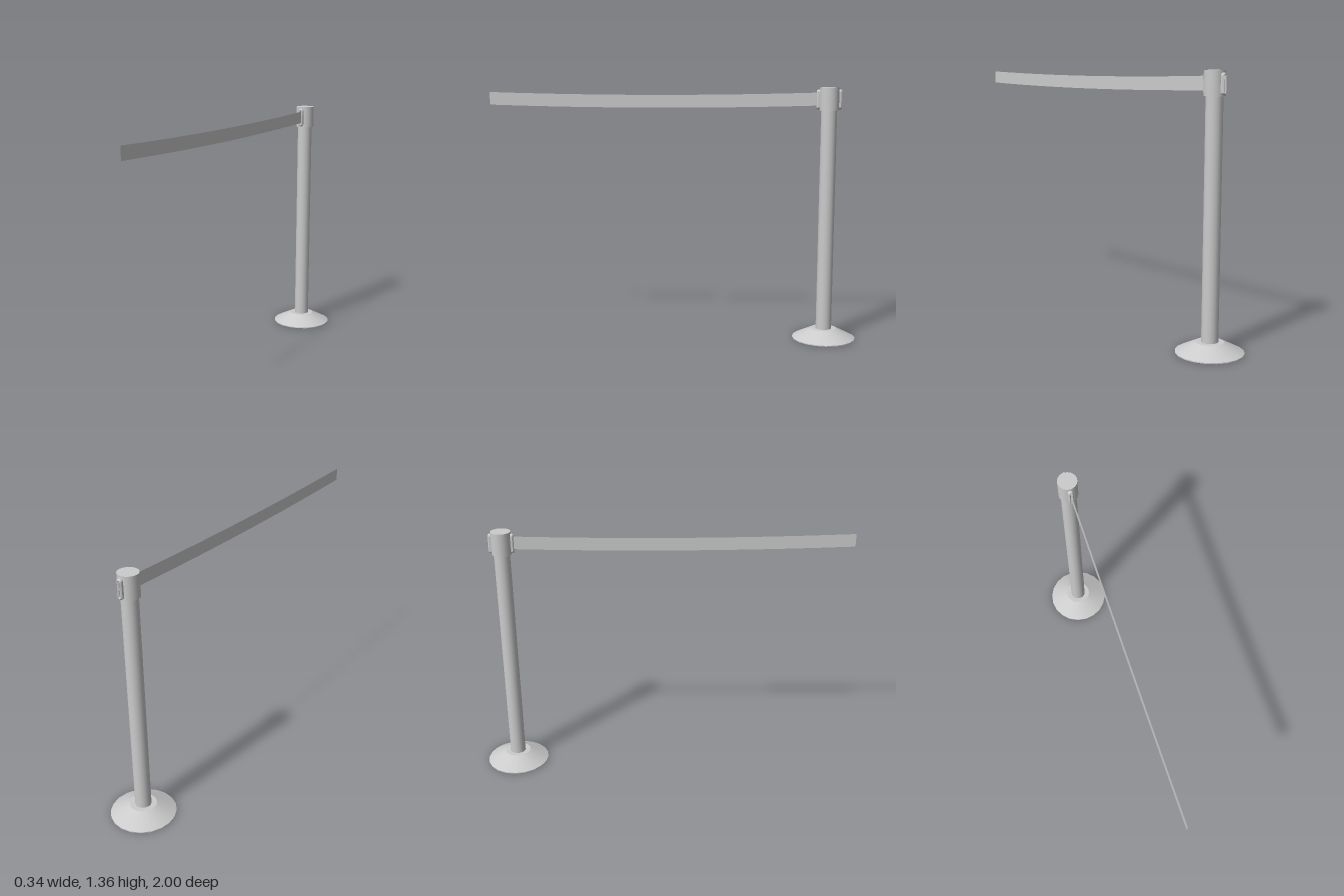
import * as THREE from 'three';

const POST_Z = -0.83;
const SIDES = 20;

// Upright stadium outline, centred on the origin
function stadium(path, r, halfHeight) {
  const s = halfHeight - r;
  path.moveTo(r, -s);
  path.lineTo(r, s);
  path.absarc(0, s, r, 0, Math.PI, false);
  path.lineTo(-r, -s);
  path.absarc(0, -s, r, Math.PI, Math.PI * 2, false);
  return path;
}

export function createModel() {
  const model = new THREE.Group();
  const grey = new THREE.MeshStandardMaterial({ color: 0xcccccc });
  const thin = new THREE.MeshStandardMaterial({ color: 0xcccccc, side: THREE.DoubleSide });

  const add = (name, geometry, parent = model, material = grey) => {
    const mesh = new THREE.Mesh(geometry, material);
    mesh.name = name;
    parent.add(mesh);
    return mesh;
  };

  // Turned parts of the stand: name, top radius, bottom radius, bottom y, top y
  const stand = new THREE.Group();
  stand.name = 'stand';
  stand.position.z = POST_Z;
  model.add(stand);
  [
    ['baseRim', 0.17, 0.17, 0, 0.005],
    ['baseCone', 0.07, 0.17, 0.005, 0.055],
    ['post', 0.042, 0.042, 0.05, 1.245],
    ['head', 0.052, 0.052, 1.24, 1.36],
  ].forEach(([name, top, bottom, y0, y1]) => {
    add(name, new THREE.CylinderGeometry(top, bottom, y1 - y0, SIDES), stand)
      .position.y = (y0 + y1) / 2;
  });

  // Raised slot frames on the front and back of the head
  const outline = stadium(new THREE.Shape(), 0.009, 0.047);
  outline.holes.push(stadium(new THREE.Path(), 0.0065, 0.0445));
  const frame = new THREE.ExtrudeGeometry(outline, {
    depth: 0.017, bevelEnabled: true, bevelThickness: 0.006,
    bevelSize: 0.005, bevelOffset: 0, bevelSegments: 1, curveSegments: 6,
  });
  frame.translate(0, 0, 0.043);
  [['frontSlotFrame', 0], ['backSlotFrame', Math.PI]].forEach(([name, turn]) => {
    const mesh = add(name, frame, stand);
    mesh.position.y = 1.297;
    mesh.rotation.y = turn;
  });

  // Flat belt that sags gently towards the middle of its run
  const start = POST_Z + 0.045, end = 1;
  const belt = new THREE.PlaneGeometry(end - start, 0.068, 12, 1);
  belt.rotateY(-Math.PI / 2);
  belt.translate(0, 0, (start + end) / 2);
  const pos = belt.attributes.position;
  for (let i = 0; i < pos.count; i++) {
    const t = (pos.getZ(i) - (start + end) / 2) / ((end - start) / 2);
    pos.setY(i, pos.getY(i) + 1.285 + 0.014 * t * t);
  }
  belt.computeVertexNormals();
  add('belt', belt, model, thin);

  return model;
}
